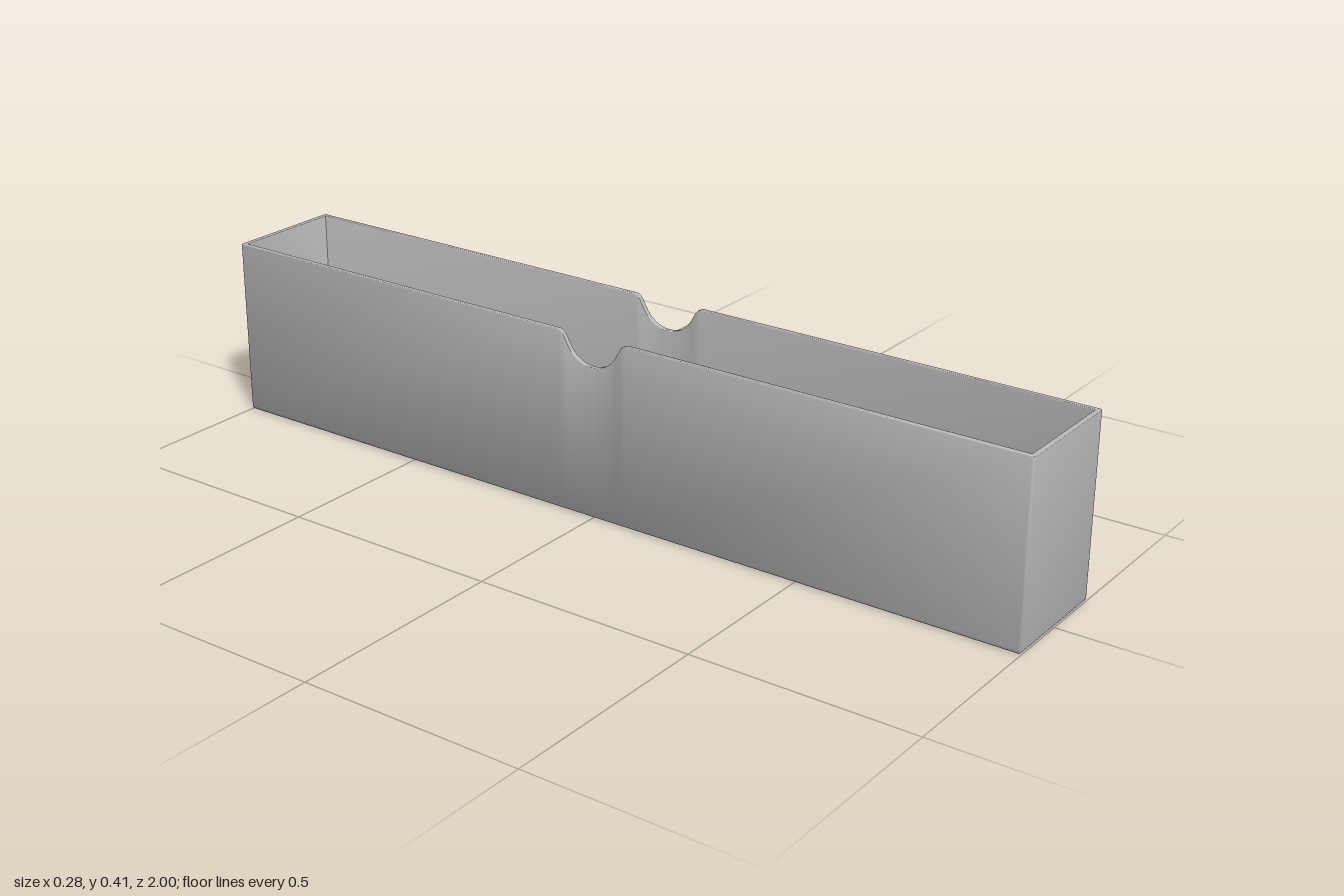
import * as THREE from 'three';
import { toCreasedNormals } from 'three/addons/utils/BufferGeometryUtils.js';

const W = 0.138, L = 1, H = 0.405;        // half width, half length, height
const WALL = 0.011, FLOOR = 0.011;
const CORNER = 0.005, BASE_R = 0.008, RIM_R = 0.002;

// Thumb notch outline as [z, y], from the centre out to the flat rim
function halfNotch() {
  const pts = [], slope = Math.PI / 3;
  for (let i = 0; i <= 10; i++) {
    const a = slope * i / 10;
    pts.push([0.07 * Math.sin(a), 0.41 - 0.07 * Math.cos(a)]);
  }
  for (let i = 0; i <= 6; i++) {
    const a = slope * (1 - i / 6);
    pts.push([0.0894 - 0.02 * Math.sin(a), H - 0.02 + 0.02 * Math.cos(a)]);
  }
  return pts;
}

// Plan outline of the box: each entry gives position at an inset and the rim height there
function outline() {
  const half = halfNotch();
  const notch = [...half.slice(1).reverse().map(([z, y]) => [-z, y]), ...half];
  const path = [];
  const side = (sx) => {
    const pts = sx > 0 ? notch : [...notch].reverse();
    for (const [z, top] of pts) path.push({ top, at: (d) => [sx * (W - d), z] });
  };
  const corner = (sx, sz, start) => {
    for (let i = 0; i <= 4; i++) {
      const a = start + (Math.PI / 2) * i / 4;
      path.push({
        top: H,
        at: (d) => {
          const r = Math.max(CORNER - d, 0.0008);
          return [sx * (W - d - r) + r * Math.cos(a), sz * (L - d - r) + r * Math.sin(a)];
        },
      });
    }
  };
  side(1);
  corner(1, 1, 0);
  corner(-1, 1, Math.PI / 2);
  side(-1);
  corner(-1, -1, Math.PI);
  corner(1, -1, Math.PI * 1.5);
  return path;
}

// Wall section, from the underside up over the rim and down to the inner floor
function wallSection() {
  const s = [];
  for (let i = 0; i <= 4; i++) {
    const a = (Math.PI / 2) * i / 4;
    s.push([BASE_R * (1 - Math.sin(a)), () => BASE_R * (1 - Math.cos(a))]);
  }
  for (let i = 0; i <= 3; i++) {
    const a = (Math.PI / 2) * i / 3;
    s.push([RIM_R * (1 - Math.cos(a)), (top) => top - RIM_R * (1 - Math.sin(a))]);
  }
  for (let i = 0; i <= 3; i++) {
    const a = (Math.PI / 2) * i / 3;
    s.push([WALL - RIM_R * (1 - Math.sin(a)), (top) => top - RIM_R * (1 - Math.cos(a))]);
  }
  s.push([WALL, () => FLOOR]);
  return s;
}

function trayGeometry() {
  const path = outline(), section = wallSection(), n = path.length;
  const pos = [], idx = [];
  for (const [d, height] of section) {
    for (const p of path) {
      const [x, z] = p.at(d);
      pos.push(x, height(p.top), z);
    }
  }
  const last = (section.length - 1) * n, under = section.length * n, floor = under + 1;
  pos.push(0, 0, 0, 0, FLOOR, 0);
  for (let j = 0; j < n; j++) {
    const k = (j + 1) % n;
    for (let i = 0; i < section.length - 1; i++) {
      const a = i * n + j, b = i * n + k;
      idx.push(a, a + n, b, b, a + n, b + n);
    }
    idx.push(under, j, k, floor, last + k, last + j); // underside and inner floor
  }
  const g = new THREE.BufferGeometry();
  g.setAttribute('position', new THREE.Float32BufferAttribute(pos, 3));
  g.setIndex(idx);
  return toCreasedNormals(g, 0.6);
}

export function createModel() {
  const grey = new THREE.MeshStandardMaterial({ color: 0xb8b8b8 });
  grey.name = 'grey';
  const tray = new THREE.Mesh(trayGeometry(), grey);
  tray.name = 'notchedTray';
  const group = new THREE.Group();
  group.name = 'openBox';
  group.add(tray);
  return group;
}
